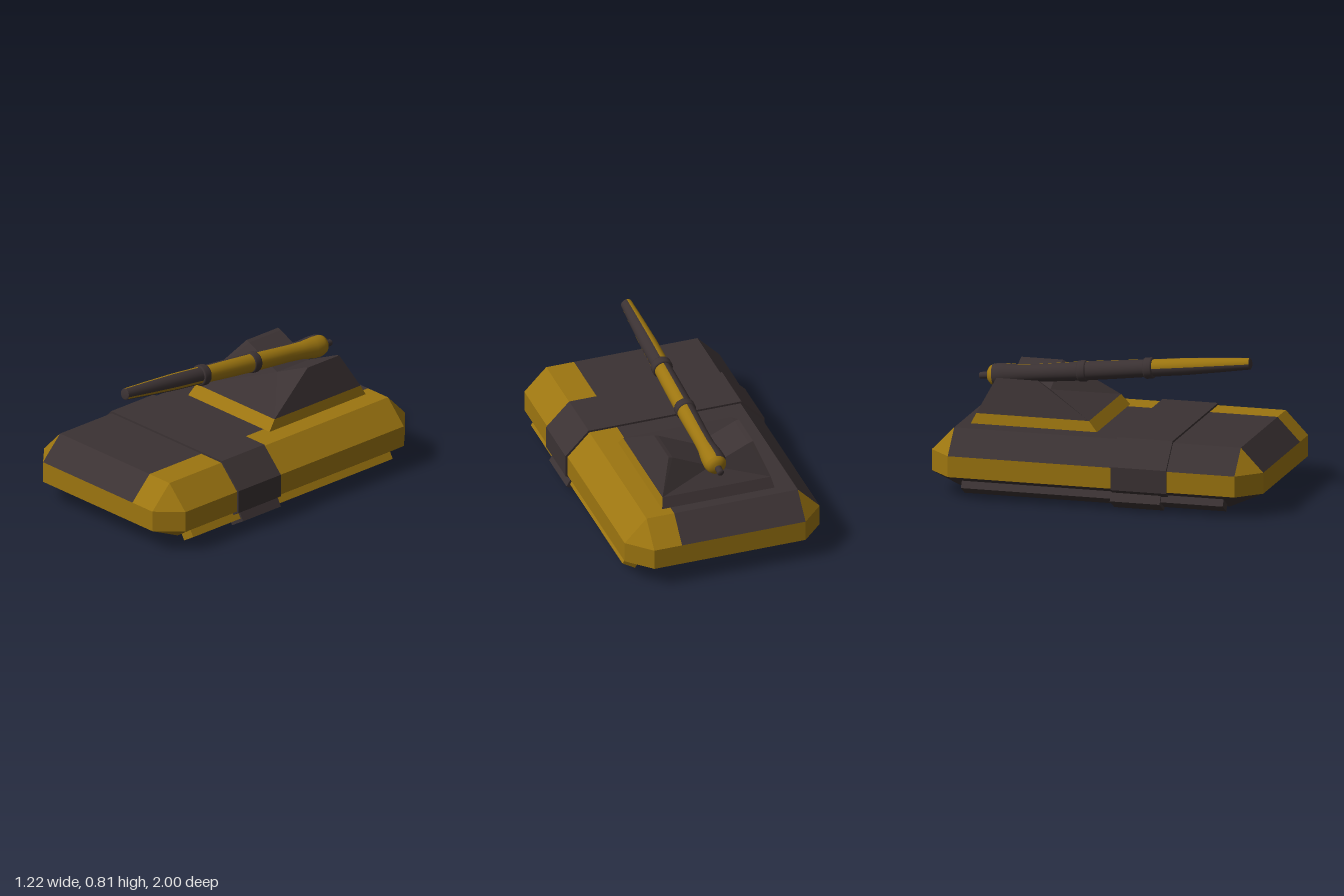
import * as THREE from 'three';

const gold = new THREE.MeshStandardMaterial({ color: 0x9c7510 });
gold.name = 'mustard';
const dark = new THREE.MeshStandardMaterial({ color: 0x3b3233 });
dark.name = 'charcoal';

// Collects flat convex faces for both colours, turned away from a given centre
function faceted(name, center) {
  const lists = new Map([[gold, []], [dark, []]]);
  const c = new THREE.Vector3(...center);
  const add = (mat, ...pts) => {
    const v = pts.map((p) => new THREE.Vector3(...p));
    for (let i = 1; i < v.length - 1; i++) {
      const tri = [v[0], v[i], v[i + 1]];
      const n = tri[1].clone().sub(tri[0]).cross(tri[2].clone().sub(tri[0]));
      if (n.dot(tri[0].clone().sub(c)) < 0) tri.reverse();
      tri.forEach((p) => lists.get(mat).push(p.x, p.y, p.z));
    }
  };
  const build = () => {
    const group = new THREE.Group();
    group.name = name;
    for (const [mat, pos] of lists) {
      const geo = new THREE.BufferGeometry();
      geo.setAttribute('position', new THREE.Float32BufferAttribute(pos, 3));
      geo.computeVertexNormals();
      const mesh = new THREE.Mesh(geo, mat);
      mesh.name = name + (mat === gold ? 'Mustard' : 'Charcoal');
      group.add(mesh);
    }
    return group;
  };
  return { add, build };
}

// Chamfered hull with lengthwise two-tone camouflage
function makeHull() {
  const { add, build } = faceted('hull', [0, 0.2, 0]);
  const W = 0.6, w = 0.465, L = 1, l = 0.865;
  const yT = 0.395, yH = 0.255, yL = 0.13, yB = 0.04, zB = 0.8;
  const topSplit = 0.295, lowSplit = -0.255;
  const topBands = [[-w, topSplit, dark], [topSplit, w, gold]];
  const lowBands = [[-w, lowSplit, dark], [lowSplit, w, gold]];
  for (const [a, b, m] of topBands) add(m, [a, yT, -l], [b, yT, -l], [b, yT, l], [a, yT, l]);
  for (const [a, b, m] of lowBands) add(m, [a, yB, -zB], [b, yB, -zB], [b, yB, zB], [a, yB, zB]);
  for (const s of [-1, 1]) {
    // front and back ends
    for (const [a, b, m] of topBands) add(m, [a, yT, s * l], [b, yT, s * l], [b, yH, s * L], [a, yH, s * L]);
    for (const [a, b, m] of lowBands) add(m, [a, yL, s * L], [b, yL, s * L], [b, yB, s * zB], [a, yB, s * zB]);
    add(gold, [-w, yH, s * L], [w, yH, s * L], [w, yL, s * L], [-w, yL, s * L]);
    // long sides
    const m = s < 0 ? dark : gold;
    add(m, [s * w, yT, -l], [s * w, yT, l], [s * W, yH, l], [s * W, yH, -l]);
    add(gold, [s * W, yH, -l], [s * W, yH, l], [s * W, yL, l], [s * W, yL, -l]);
    add(m, [s * W, yL, -l], [s * W, yL, l], [s * w, yB, zB], [s * w, yB, -zB]);
    // corners
    for (const e of [-1, 1]) {
      add(gold, [s * w, yT, e * l], [s * w, yH, e * L], [s * W, yH, e * l]);
      add(gold, [s * w, yH, e * L], [s * W, yH, e * l], [s * W, yL, e * l], [s * w, yL, e * L]);
      add(m, [s * w, yL, e * L], [s * W, yL, e * l], [s * w, yB, e * zB]);
    }
  }
  return build();
}

// Wedge turret with twin peaks and a V-shaped trough for the gun
function makeTurret() {
  const { add, build } = faceted('turret', [0, 0.42, -0.5]);
  const base = (s, z) => [s * 0.348, 0.385, z];
  const sill = (s, z) => [s * 0.333, 0.455, z];
  const peak = (s, z) => [s * 0.26, 0.655, z];
  const lip = (s, z) => [s * 0.235, 0.648, z];
  const ends = [[-0.03, -0.09, -0.42, gold], [-0.805, -0.77, -0.67, dark]];
  const [[b0, s0, p0], [b1, s1, p1]] = ends;
  for (const [b, s, p, m] of ends) {
    const v = [0, 0.54, p];
    add(m, base(-1, b), base(1, b), sill(1, s), sill(-1, s));
    add(dark, sill(-1, s), sill(1, s), v);
    for (const k of [-1, 1]) add(dark, sill(k, s), peak(k, p), lip(k, p), v);
  }
  for (const k of [-1, 1]) {
    add(gold, base(k, b0), base(k, b1), sill(k, s1), sill(k, s0));
    add(dark, sill(k, s0), sill(k, s1), peak(k, p1), peak(k, p0));
    add(dark, peak(k, p0), peak(k, p1), lip(k, p1), lip(k, p0));
    add(dark, lip(k, p0), lip(k, p1), [0, 0.54, p1], [0, 0.54, p0]);
  }
  return build();
}

// Tilted gun, turned around its own axis in coloured sectors
function makeGun() {
  const gun = new THREE.Group();
  gun.name = 'gun';
  const turn = (name, mat, profile, from = 0, to = 360) => {
    const pts = profile.map(([r, t]) => new THREE.Vector2(r, t));
    const seg = Math.max(3, Math.round((to - from) / 15));
    const geo = new THREE.LatheGeometry(pts, seg, THREE.MathUtils.degToRad(from), THREE.MathUtils.degToRad(to - from));
    const mesh = new THREE.Mesh(geo, mat);
    mesh.name = name;
    gun.add(mesh);
  };
  const breech = [[0.062, -0.765], [0.068, -0.74], [0.066, -0.69], [0.054, -0.6], [0.052, -0.5],
    [0.056, -0.22], [0.054, 0], [0.051, 0.17]];
  turn('breechLeft', gold, breech, 0, 180);
  turn('breechRight', dark, breech, 180, 360);
  turn('breechCap', gold, [[0, -0.803], [0.035, -0.798], [0.054, -0.783], [0.062, -0.765]]);
  turn('breechPin', dark, [[0, -0.853], [0.014, -0.853], [0.02, -0.845], [0.02, -0.79]]);

  const barrel = [[0.051, 0.17], [0.05, 0.4], [0.042, 0.62], [0.034, 0.79]];
  turn('barrelUnderside', dark, barrel, 0, 50);
  turn('barrelStripe', gold, barrel, 50, 75);
  turn('barrelLeft', dark, barrel, 75, 180);
  turn('barrelTop', gold, barrel, 180, 265);
  turn('barrelRight', dark, barrel, 265, 360);
  turn('muzzle', dark, [[0.034, 0.79], [0.026, 0.796], [0, 0.796]]);

  for (const t of [-0.225, 0.178]) {
    turn('gunRing', dark, [[0.05, t - 0.026], [0.058, t - 0.026], [0.062, t - 0.018],
      [0.062, t + 0.018], [0.058, t + 0.026], [0.05, t + 0.026]]);
  }
  gun.position.y = 0.69;
  gun.rotation.x = Math.PI / 2 - 0.113;
  return gun;
}

export function createModel() {
  const model = new THREE.Group();
  model.name = 'hoverTank';
  model.add(makeHull(), makeTurret(), makeGun());

  // Band wrapped round the hull
  const half = [[0.47, 0.407], [0.612, 0.262], [0.612, 0.125], [0.465, 0.025]];
  const outline = [...half, ...half.map(([x, y]) => [-x, y]).reverse()];
  const shape = new THREE.Shape(outline.map(([x, y]) => new THREE.Vector2(x, y)));
  const band = new THREE.Mesh(new THREE.ExtrudeGeometry(shape, { depth: 0.335, bevelEnabled: false }), dark);
  band.name = 'hullBand';
  band.position.z = 0.12;
  model.add(band);

  // Slanted rails under both edges, each with a clamp
  for (const s of [-1, 1]) {
    const bar = (name, mat, w, h, d, x, y, z) => {
      const mesh = new THREE.Mesh(new THREE.BoxGeometry(w, h, d), mat);
      mesh.name = name;
      mesh.position.set(s * x, y, z);
      mesh.rotation.z = s * 0.54;
      model.add(mesh);
    };
    bar('rail', s < 0 ? dark : gold, 0.09, 0.05, 1.58, 0.535, 0.065, 0);
    bar('railClamp', dark, 0.11, 0.065, 0.3, 0.544, 0.056, 0.265);
  }
  return model;
}
